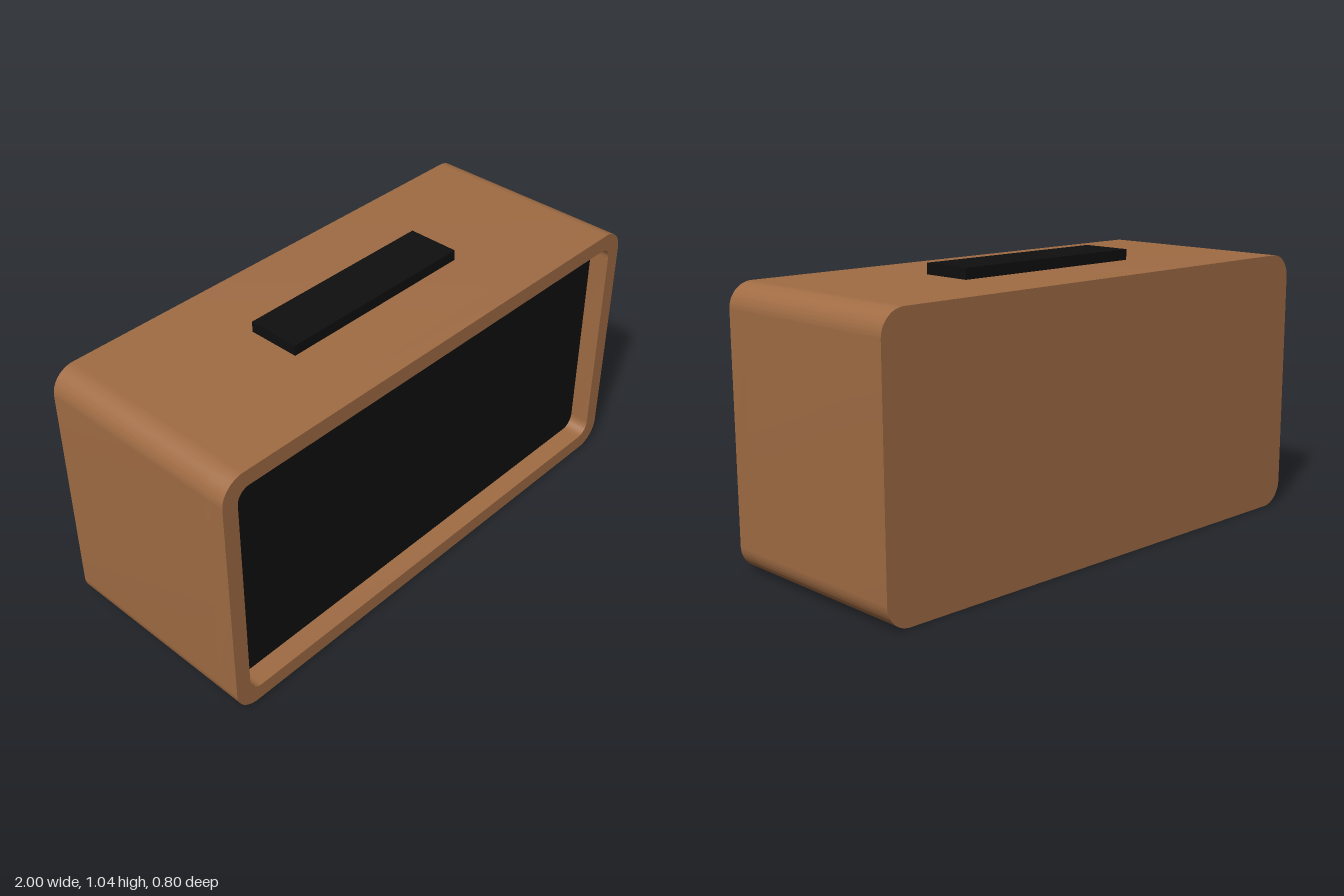
import * as THREE from 'three';
import { toCreasedNormals } from 'three/addons/utils/BufferGeometryUtils.js';

const wood = new THREE.MeshStandardMaterial({ color: 0xa06c44 });
const black = new THREE.MeshStandardMaterial({ color: 0x0f0f0f });

// Traces a rounded rectangle centred on the origin
function roundedRect(path, w, h, r) {
  const x = w / 2, y = h / 2;
  path.moveTo(-x + r, -y);
  path.lineTo(x - r, -y);
  path.absarc(x - r, -y + r, r, -Math.PI / 2, 0);
  path.lineTo(x, y - r);
  path.absarc(x - r, y - r, r, 0, Math.PI / 2);
  path.lineTo(-x + r, y);
  path.absarc(-x + r, y - r, r, Math.PI / 2, Math.PI);
  path.lineTo(-x, -y + r);
  path.absarc(-x + r, -y + r, r, Math.PI, Math.PI * 1.5);
  return path;
}

// Extrudes a shape from z0 to z1 with smooth corners and sharp rims
function slab(name, shape, z0, z1, material) {
  const geometry = new THREE.ExtrudeGeometry(shape, { depth: z1 - z0, bevelEnabled: false, curveSegments: 12 });
  const mesh = new THREE.Mesh(toCreasedNormals(geometry, Math.PI / 6), material);
  mesh.name = name;
  mesh.position.set(0, 0.5, z0);
  return mesh;
}

export function createModel() {
  const group = new THREE.Group();
  group.name = 'tableSpeaker';
  const recess = 0.32;
  const outline = () => roundedRect(new THREE.Shape(), 2, 1, 0.09);

  // Wooden cabinet with a raised rim around the recessed front
  group.add(slab('cabinet', outline(), -0.4, recess, wood));
  const rim = outline();
  rim.holes.push(roundedRect(new THREE.Path(), 1.88, 0.88, 0.05));
  group.add(slab('frontRim', rim, recess, 0.4, wood));

  // Recessed front panel
  const panel = roundedRect(new THREE.Shape(), 1.88, 0.88, 0.05);
  group.add(slab('frontPanel', panel, recess - 0.02, recess + 0.003, black));

  // Control bar on top
  const bar = new THREE.Mesh(new THREE.BoxGeometry(0.8, 0.04, 0.2), black);
  bar.name = 'topBar';
  bar.position.y = 1.02;
  group.add(bar);

  return group;
}
